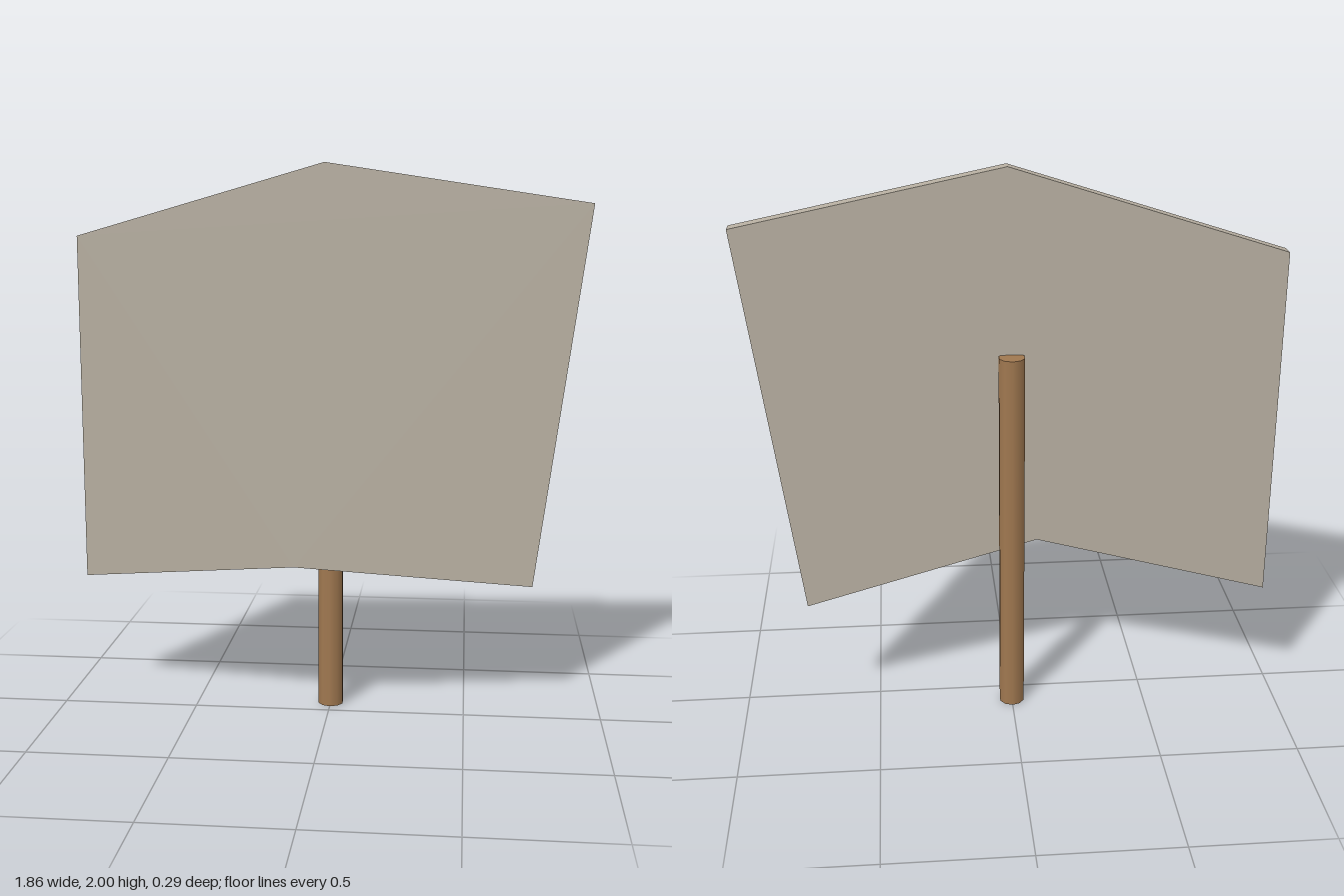
import * as THREE from 'three';

const boardMaterial = new THREE.MeshStandardMaterial({ color: 0xb8b0a2 });
boardMaterial.name = 'weathered board';
const woodMaterial = new THREE.MeshStandardMaterial({ color: 0xa07850 });
woodMaterial.name = 'brown wood';

// Board outline, counterclockwise from the front; the two middle points bend forward
const OUTLINE = [
  [-0.93, 0.47, -0.09],  // 0 bottom, -x side
  [-0.11, 0.585, 0.145], // 1 bottom middle
  [0.745, 0.47, -0.09],  // 2 bottom, +x side
  [0.927, 1.862, -0.09], // 3 top, +x side
  [0, 2, 0.145],         // 4 top middle
  [-0.93, 1.745, -0.09], // 5 top, -x side
];
const FACETS = [[5, 3, 4], [5, 1, 3], [5, 0, 1], [1, 2, 3]];
const THICKNESS = 0.055;

function boardGeometry() {
  const positions = [], normals = [];
  const front = OUTLINE.map((p) => new THREE.Vector3(...p));
  const back = front.map((p) => p.clone().setZ(p.z - THICKNESS));
  const addTriangle = (a, b, c, n) => {
    for (const p of [a, b, c]) {
      positions.push(p.x, p.y, p.z);
      normals.push(n.x, n.y, n.z);
    }
  };
  // Front and back faces, each shaded as one even surface
  const forward = new THREE.Vector3(0, 0, 1);
  const backward = new THREE.Vector3(0, 0, -1);
  for (const [a, b, c] of FACETS) {
    addTriangle(front[a], front[b], front[c], forward);
    addTriangle(back[a], back[c], back[b], backward);
  }
  // Rim
  front.forEach((p, i) => {
    const j = (i + 1) % front.length, q = front[j];
    const n = new THREE.Vector3(q.y - p.y, p.x - q.x, 0).normalize();
    addTriangle(p, back[i], back[j], n);
    addTriangle(p, back[j], q, n);
  });
  const geometry = new THREE.BufferGeometry();
  geometry.setAttribute('position', new THREE.Float32BufferAttribute(positions, 3));
  geometry.setAttribute('normal', new THREE.Float32BufferAttribute(normals, 3));
  return geometry;
}

export function createModel() {
  const group = new THREE.Group();
  group.name = 'signpost';

  const board = new THREE.Mesh(boardGeometry(), boardMaterial);
  board.name = 'board';
  group.add(board);

  // Post, rising partway up behind the board
  const height = 1.38;
  const post = new THREE.Mesh(new THREE.CylinderGeometry(0.047, 0.047, height, 10), woodMaterial);
  post.name = 'post';
  post.position.set(0, height / 2, -0.087);
  group.add(post);

  return group;
}
